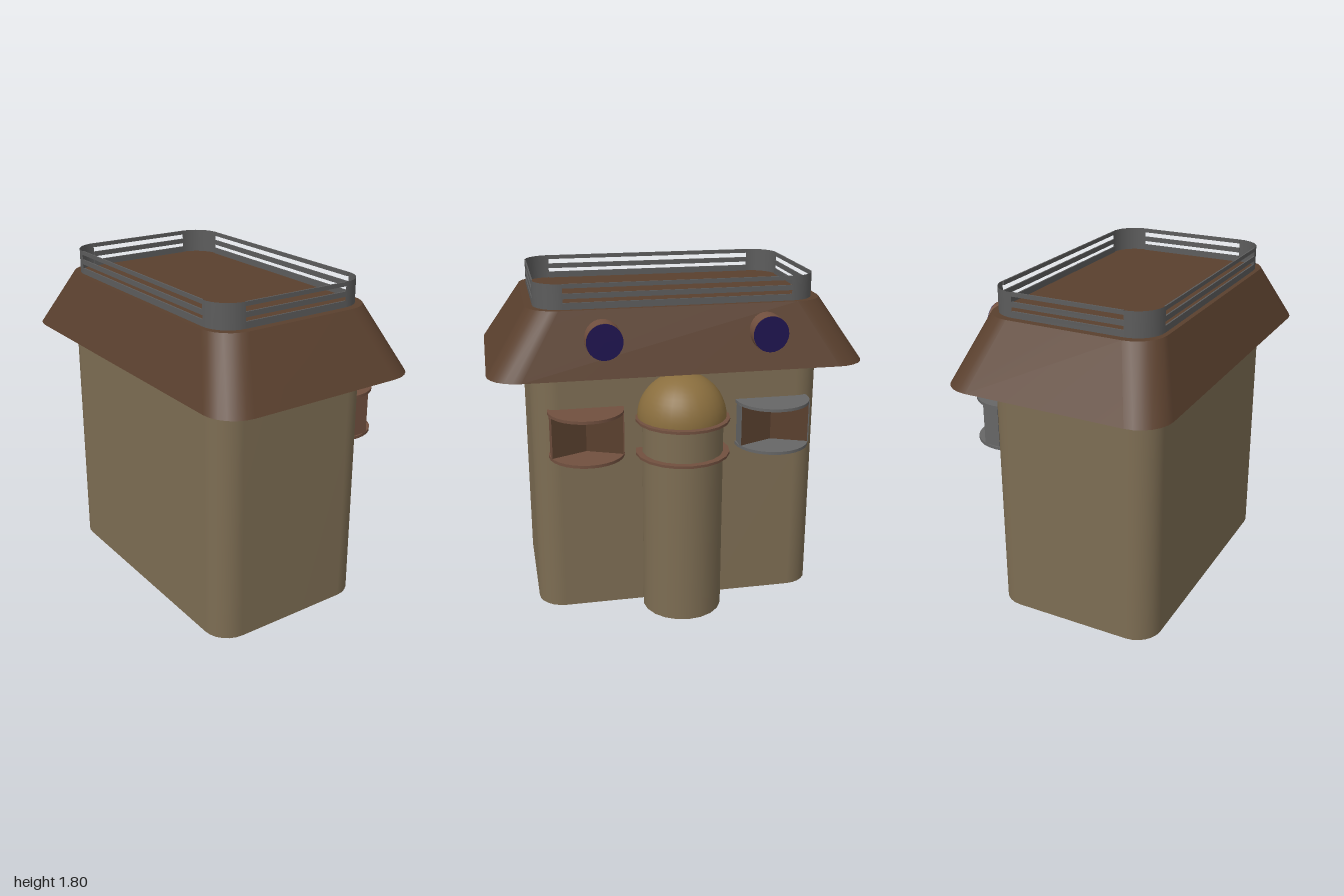
import * as THREE from 'three';

const mat = (color, side = THREE.FrontSide) => new THREE.MeshStandardMaterial({ color, side });
const stone = mat(0x7d6d53), roofBrown = mat(0x5a402e), gold = mat(0x8a6e3e);
const trim = mat(0x71503f), grey = mat(0x666666), glass = mat(0x1f1450);
const railGrey = mat(0x5c5c5c, THREE.DoubleSide), doorBrown = mat(0x5a402e, THREE.DoubleSide);

function add(parent, name, geometry, material, x = 0, y = 0, z = 0) {
  const mesh = new THREE.Mesh(geometry, material);
  mesh.name = name;
  mesh.position.set(x, y, z);
  parent.add(mesh);
  return mesh;
}

// Outline of a rounded rectangle, as [x, z] points
function roundedLoop(x0, x1, hz, r, seg = 6) {
  const pts = [];
  [[x1 - r, hz - r], [x0 + r, hz - r], [x0 + r, r - hz], [x1 - r, r - hz]].forEach(([cx, cz], q) => {
    for (let i = 0; i <= seg; i++) {
      const a = (q + i / seg) * Math.PI / 2;
      pts.push([cx + r * Math.cos(a), cz + r * Math.sin(a)]);
    }
  });
  return pts;
}

function build(positions, index) {
  const g = new THREE.BufferGeometry();
  g.setAttribute('position', new THREE.Float32BufferAttribute(positions, 3));
  g.setIndex(index);
  g.computeVertexNormals();
  return g;
}

// Wall between two outlines
function wall(a, ya, b, yb) {
  const n = a.length, pos = [], idx = [];
  a.forEach(p => pos.push(p[0], ya, p[1]));
  b.forEach(p => pos.push(p[0], yb, p[1]));
  for (let i = 0; i < n; i++) {
    const j = (i + 1) % n;
    idx.push(i, n + i, j, j, n + i, n + j);
  }
  return build(pos, idx);
}

// Flat cap over an outline
function cap(loop, y, up) {
  const pos = [-0.1, y, 0], idx = [], n = loop.length;
  loop.forEach(p => pos.push(p[0], y, p[1]));
  for (let i = 0; i < n; i++) {
    const a = i + 1, b = (i + 1) % n + 1;
    idx.push(0, up ? b : a, up ? a : b);
  }
  return build(pos, idx);
}

export function createModel() {
  const model = new THREE.Group();
  model.name = 'building';

  // Main walls
  const base = roundedLoop(-0.57, 0.37, 0.78, 0.14);
  add(model, 'bodyWalls', wall(base, 0, base, 1.34), stone);
  add(model, 'bodyFloor', cap(base, 0, false), stone);

  // Sloping roof
  const eave = roundedLoop(-0.7, 0.505, 1, 0.17), top = roundedLoop(-0.57, 0.38, 0.785, 0.16);
  add(model, 'roofSlope', wall(eave, 1.34, top, 1.67), roofBrown);
  add(model, 'roofTop', cap(top, 1.67, true), roofBrown);
  add(model, 'roofUnderside', cap(eave, 1.34, false), grey);

  // Railing: curved corner panels joined by three bars per side
  const railing = new THREE.Group();
  railing.name = 'railing';
  model.add(railing);
  const r = 0.145, hx = 0.45, hz = 0.745, cx = -0.095;
  for (const sx of [-1, 1]) for (const sz of [-1, 1]) {
    const start = sx > 0 ? (sz > 0 ? 0 : Math.PI / 2) : (sz > 0 ? -Math.PI / 2 : Math.PI);
    add(railing, 'railCorner', new THREE.CylinderGeometry(r, r, 0.13, 8, 1, true, start, Math.PI / 2),
      railGrey, cx + sx * (hx - r), 1.735, sz * (hz - r));
  }
  for (const [y, h] of [[1.687, 0.034], [1.738, 0.027], [1.789, 0.022]]) {
    for (const s of [-1, 1]) {
      add(railing, 'endRail', new THREE.BoxGeometry(2 * (hx - r), h, 0.008), railGrey, cx, y, s * (hz - 0.004));
      add(railing, 'sideRail', new THREE.BoxGeometry(0.008, h, 2 * (hz - r)), railGrey, cx + s * (hx - 0.004), y, 0);
    }
  }

  // Round tower with rings and dome
  const tower = new THREE.Group();
  tower.name = 'tower';
  model.add(tower);
  add(tower, 'towerShaft', new THREE.CylinderGeometry(0.215, 0.215, 1.085, 20), stone, 0.44, 0.5475, 0);
  for (const y of [0.905, 1.09])
    add(tower, 'towerRing', new THREE.CylinderGeometry(0.25, 0.25, 0.014, 20), trim, 0.44, y, 0);
  add(tower, 'towerDome', new THREE.SphereGeometry(0.236, 28, 12, 0, Math.PI * 2, 0, Math.PI / 2), gold, 0.42, 1.093, 0);

  // Balconies: two shelves around a V-shaped recess with side cheeks
  for (const s of [1, -1]) {
    const balcony = new THREE.Group();
    balcony.name = s > 0 ? 'leftSideBalcony' : 'rightSideBalcony';
    balcony.name = s > 0 ? 'frontBalcony' : 'backBalcony';
    balcony.position.set(0, 0, s * 0.503);
    model.add(balcony);
    const shelf = s > 0 ? trim : grey;
    for (const y of [0.905, 1.142])
      add(balcony, 'shelf', new THREE.CylinderGeometry(0.2, 0.2, 0.016, 28), shelf, 0.385, y, 0);
    for (const e of [-1, 1]) {
      add(balcony, 'cheek', new THREE.BoxGeometry(0.09, 0.225, 0.006), shelf, 0.41, 1.0235, e * 0.188);
      const panel = add(balcony, 'recessPanel', new THREE.PlaneGeometry(Math.hypot(0.08, 0.188), 0.225),
        doorBrown, 0.415, 1.0235, e * 0.094);
      panel.rotation.y = Math.PI / 2 + e * Math.atan2(0.08, 0.188);
    }
  }

  // Round lamps on the roof slope
  for (const z of [0.41, -0.45]) {
    const lamp = new THREE.Group();
    lamp.name = 'lamp';
    lamp.position.set(0.44, 1.53, z);
    lamp.rotation.z = -Math.PI / 2;
    model.add(lamp);
    add(lamp, 'lampHousing', new THREE.CylinderGeometry(0.096, 0.096, 0.12, 28), trim);
    add(lamp, 'lampLens', new THREE.CylinderGeometry(0.094, 0.094, 0.006, 28), glass, 0, 0.061, 0);
  }
  return model;
}
